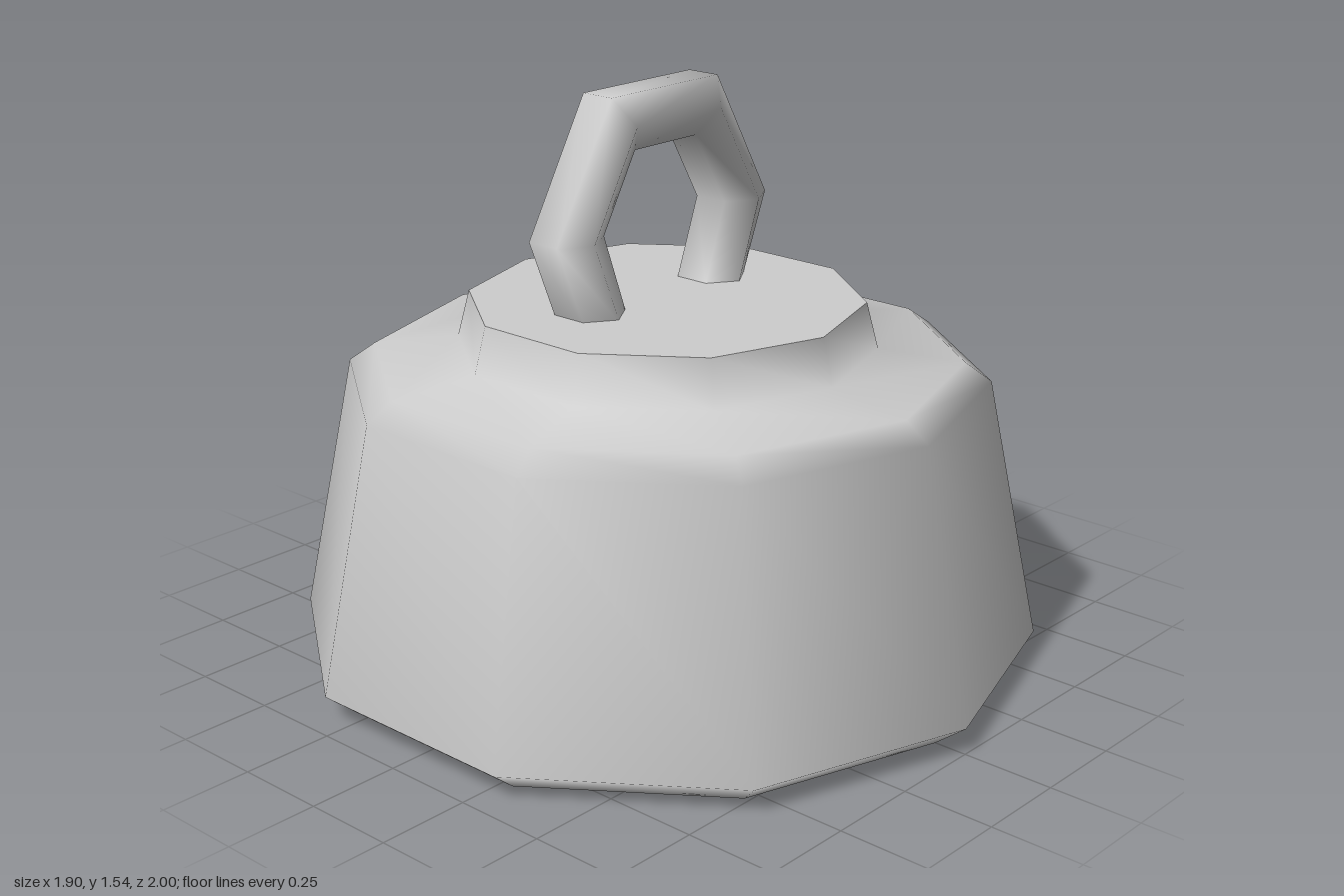
import * as THREE from 'three';
import { mergeVertices } from 'three/addons/utils/BufferGeometryUtils.js';

const SIDES = 10;

// Weld seams and recompute smooth normals
function smooth(geometry) {
  geometry.deleteAttribute('uv');
  geometry.deleteAttribute('normal');
  const welded = mergeVertices(geometry, 1e-4);
  welded.computeVertexNormals();
  return welded;
}

// Handle: hexagonal section swept along three quarters of a hexagon, with feet in the base
function handleGeometry() {
  const R = 0.317, r = 0.0975, cy = 1.195;
  const rings = [{ x: 0.232, y: 0.975, dx: 1, dy: 0, s: 0.92, w: 1.04 }];
  for (let i = 0; i <= 3; i++) {
    const a = (i * Math.PI) / 3, dx = Math.cos(a), dy = Math.sin(a);
    rings.push({ x: R * dx, y: cy + R * dy, dx, dy, s: 1, w: 1 });
  }
  rings.push({ ...rings[0], x: -0.232, dx: -1 });

  const positions = [], index = [];
  rings.forEach((ring, i) => {
    for (let j = 0; j < 6; j++) {
      const a = ((j + 0.5) * Math.PI) / 3;
      const out = r * ring.s * Math.cos(a);
      positions.push(ring.x + ring.dx * out, ring.y + ring.dy * out, r * ring.w * Math.sin(a));
      if (i < rings.length - 1) {
        const p = i * 6 + j, q = i * 6 + ((j + 1) % 6);
        index.push(p, p + 6, q + 6, p, q + 6, q);
      }
    }
  });
  const geometry = new THREE.BufferGeometry();
  geometry.setAttribute('position', new THREE.Float32BufferAttribute(positions, 3));
  geometry.setIndex(index);
  geometry.computeVertexNormals();
  return geometry;
}

export function createModel() {
  const group = new THREE.Group();
  group.name = 'weight';
  const metal = new THREE.MeshStandardMaterial({ color: 0xcccccc });
  metal.name = 'greyMetal';

  const add = (name, geometry) => {
    const mesh = new THREE.Mesh(geometry, metal);
    mesh.name = name;
    group.add(mesh);
    return mesh;
  };

  // Tapered ten-sided body with bevelled foot, shoulder and neck
  const profile = [
    [0, 0], [0.91, 0], [1, 0.07], [0.855, 0.78], [0.785, 0.83], [0.557, 0.86], [0.525, 0.985],
  ].map(([x, y]) => new THREE.Vector2(x, y));
  add('body', smooth(new THREE.LatheGeometry(profile, SIDES)));

  // Flat, sharp-edged top of the neck
  const top = add('neckTop', new THREE.CircleGeometry(0.525, SIDES, Math.PI / 2).rotateX(-Math.PI / 2));
  top.position.y = 0.985;

  // Carrying handle, set slightly behind the centre
  add('handle', handleGeometry()).position.z = -0.05;

  return group;
}
